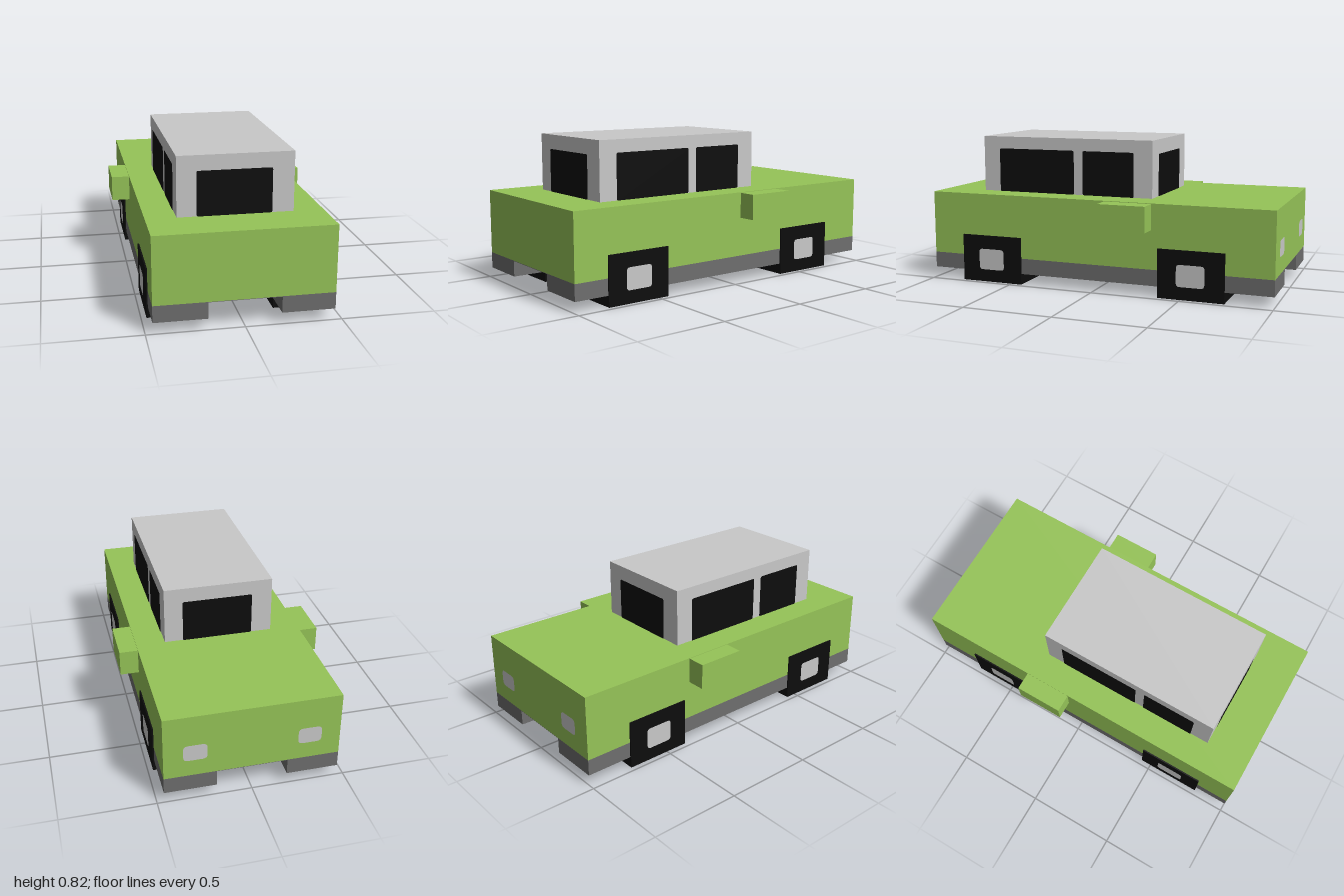
import * as THREE from 'three';

const mat = (name, color) => {
  const m = new THREE.MeshStandardMaterial({ color });
  m.name = name;
  return m;
};

export function createModel() {
  const car = new THREE.Group();
  car.name = 'car';
  const green = mat('green paint', 0x96c458);
  const silver = mat('light grey', 0xc9c9c9);
  const grey = mat('dark grey', 0x6e6e6e);
  const black = mat('black', 0x0d0d0d);

  // Box given by its extents on each axis
  const box = (name, m, [x0, x1], [y0, y1], [z0, z1], parent = car) => {
    const mesh = new THREE.Mesh(new THREE.BoxGeometry(x1 - x0, y1 - y0, z1 - z0), m);
    mesh.position.set((x0 + x1) / 2, (y0 + y1) / 2, (z0 + z1) / 2);
    mesh.name = name;
    parent.add(mesh);
    return mesh;
  };

  // Flat plate with softened corners, facing +z before it is turned by angle
  const plate = (name, m, w, h, r, pos, angle, parent = car) => {
    const s = new THREE.Shape();
    const a = w / 2, b = h / 2;
    s.moveTo(-a + r, -b).lineTo(a - r, -b).quadraticCurveTo(a, -b, a, -b + r)
      .lineTo(a, b - r).quadraticCurveTo(a, b, a - r, b)
      .lineTo(-a + r, b).quadraticCurveTo(-a, b, -a, b - r)
      .lineTo(-a, -b + r).quadraticCurveTo(-a, -b, -a + r, -b);
    const mesh = new THREE.Mesh(new THREE.ShapeGeometry(s, 4), m);
    mesh.position.set(...pos);
    mesh.rotation.y = angle;
    mesh.name = name;
    parent.add(mesh);
  };

  // Body and floor
  box('body', green, [-0.464, 0.464], [0.149, 0.507], [-1, 1]);
  box('floor', grey, [-0.462, 0.462], [0.146, 0.15], [-0.999, 0.999]);

  // Cabin, its windows repeated with a half turn about the cabin centre
  const cabin = new THREE.Group();
  cabin.name = 'cabin';
  cabin.position.z = 0.232;
  car.add(cabin);
  box('cabinShell', silver, [-0.304, 0.304], [0.505, 0.825], [-0.518, 0.518], cabin);
  for (const turn of [0, Math.PI]) {
    const windows = new THREE.Group();
    windows.name = turn ? 'rearAndLeftWindows' : 'frontAndRightWindows';
    windows.rotation.y = turn;
    cabin.add(windows);
    plate('endWindow', black, 0.392, 0.238, 0.01, [-0.006, 0.626, 0.521], 0, windows);
    plate('smallSideWindow', black, 0.305, 0.25, 0.01, [-0.307, 0.631, 0.258], -Math.PI / 2, windows);
    plate('largeSideWindow', black, 0.468, 0.25, 0.01, [-0.307, 0.631, -0.182], -Math.PI / 2, windows);
  }

  for (const s of [-1, 1]) {
    const side = s > 0 ? 'left' : 'right';
    const span = (a, b) => (s > 0 ? [a, b] : [-b, -a]);
    box(side + 'Sill', grey, span(0.187, 0.464), [0.06, 0.149], [-1, 1]);
    box(side + 'Mirror', green, span(0.46, 0.565), [0.364, 0.504], [-0.334, -0.066]);
    plate(side + 'RearLight', silver, 0.125, 0.092, 0.025, [s * 0.3, 0.29, -1.003], Math.PI);

    // Square wheels with pale hubs
    for (const [end, z, hubZ] of [['Front', 0.624, 0.625], ['Rear', -0.556, -0.555]]) {
      box(side + end + 'Wheel', black, span(0.19, 0.472), [0, 0.268], [z - 0.184, z + 0.184]);
      plate(side + end + 'Hub', silver, 0.156, 0.12, 0.02, [s * 0.475, 0.131, hubZ], s * Math.PI / 2);
    }
  }
  return car;
}
